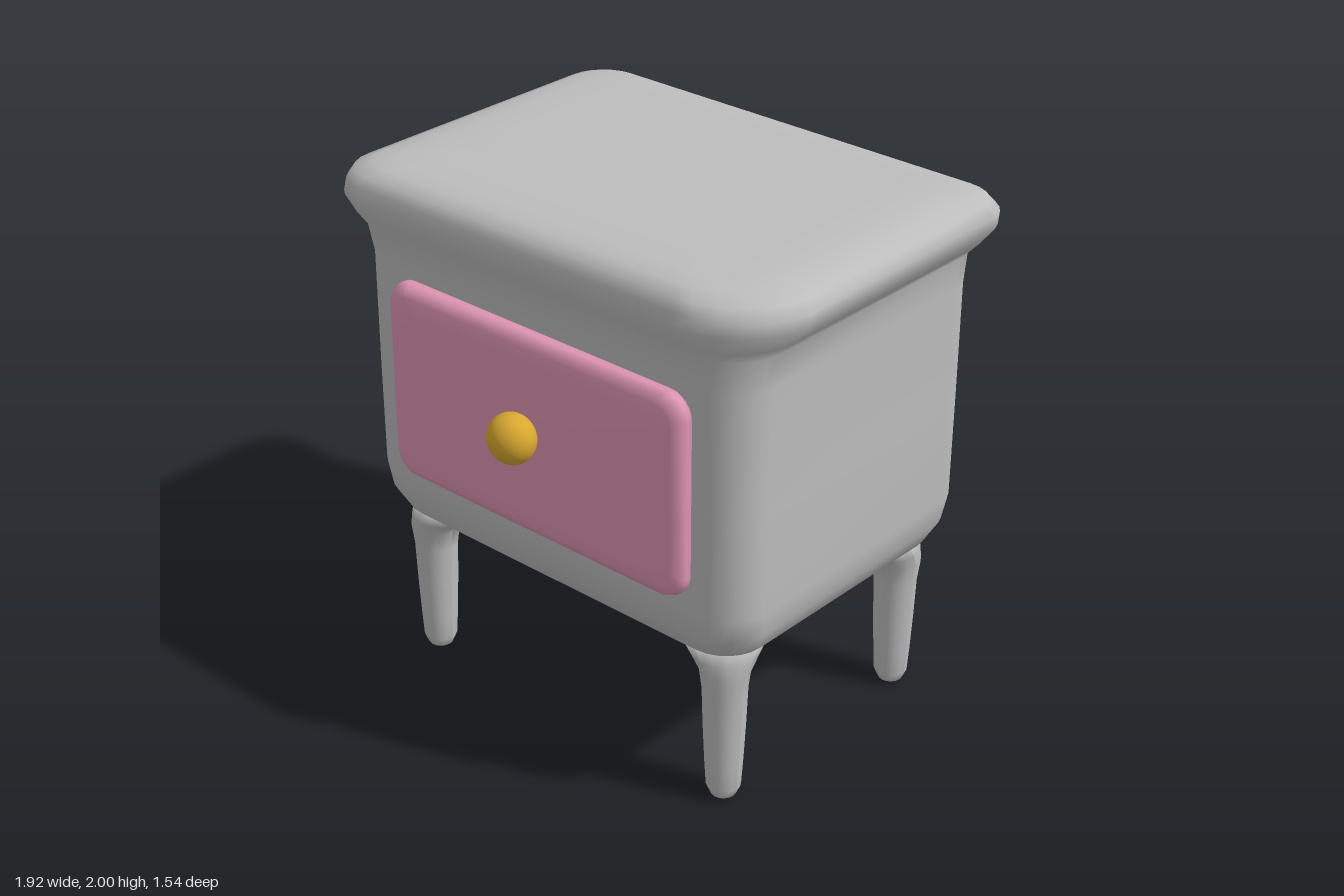
import * as THREE from 'three';

// One rounded-rectangle outline; the +x +z corner may have its own radii.
function outline([y, x0, x1, z0, z1, r, rx = r, rz = r], steps) {
  const corners = [
    [x1 - rx, z1 - rz, rx, rz], [x0 + r, z1 - r, r, r],
    [x0 + r, z0 + r, r, r], [x1 - r, z0 + r, r, r],
  ];
  const points = [];
  corners.forEach(([cx, cz, a, b], k) => {
    for (let i = 0; i <= steps; i++) {
      const t = (k + i / steps) * Math.PI / 2;
      points.push([cx + a * Math.cos(t), y, cz + b * Math.sin(t)]);
    }
  });
  return points;
}

// Closed smooth skin through outlines stacked from bottom to top.
function loft(levels, steps = 6) {
  const rings = levels.map((level) => outline(level, steps));
  const n = rings[0].length;
  const index = [];
  for (let j = 0; j < rings.length - 1; j++) {
    for (let i = 0; i < n; i++) {
      const a = j * n + i, b = j * n + (i + 1) % n;
      index.push(a, a + n, b, b, a + n, b + n);
    }
  }
  const centre = ([y, x0, x1, z0, z1]) => [(x0 + x1) / 2, y, (z0 + z1) / 2];
  const bottom = rings.length * n, top = bottom + 1, last = bottom - n;
  for (let i = 0; i < n; i++) {
    const k = (i + 1) % n;
    index.push(bottom, i, k, top, last + k, last + i);
  }
  const points = [...rings.flat(), centre(levels[0]), centre(levels.at(-1))];
  const geometry = new THREE.BufferGeometry();
  geometry.setAttribute('position', new THREE.Float32BufferAttribute(points.flat(), 3));
  geometry.setIndex(index);
  geometry.computeVertexNormals();
  return geometry;
}

export function createModel() {
  const group = new THREE.Group();
  const paint = (name, color) => {
    const material = new THREE.MeshStandardMaterial({ color });
    material.name = name;
    return material;
  };
  const grey = paint('grey', 0xbdbdbd);
  const pink = paint('pink', 0xe096b4);
  const gold = paint('gold', 0xd9a92f);
  const add = (name, geometry, material) => {
    const mesh = new THREE.Mesh(geometry, material);
    mesh.name = name;
    group.add(mesh);
    return mesh;
  };

  // Cabinet with tucked-in base and overhanging soft top
  add('cabinet', loft([
    [0.58, -0.70, 0.68, -0.56, 0.40, 0.12],
    [0.59, -0.77, 0.75, -0.62, 0.46, 0.14],
    [0.64, -0.825, 0.81, -0.66, 0.515, 0.15],
    [0.72, -0.87, 0.85, -0.695, 0.55, 0.15],
    [0.82, -0.88, 0.865, -0.71, 0.565, 0.15],
    [1.20, -0.882, 0.867, -0.71, 0.565, 0.15],
    [1.65, -0.88, 0.867, -0.71, 0.565, 0.15, 0.17, 0.17],
    [1.77, -0.89, 0.875, -0.715, 0.585, 0.15, 0.22, 0.20],
    [1.81, -0.92, 0.91, -0.74, 0.605, 0.15, 0.27, 0.24],
    [1.87, -0.96, 0.95, -0.77, 0.62, 0.15, 0.32, 0.28],
    [1.92, -0.95, 0.958, -0.765, 0.615, 0.15, 0.32, 0.28],
    [1.96, -0.93, 0.93, -0.74, 0.595, 0.15, 0.32, 0.28],
    [1.985, -0.87, 0.87, -0.69, 0.55, 0.14, 0.30, 0.26],
    [1.995, -0.79, 0.79, -0.62, 0.48, 0.12, 0.28, 0.24],
    [2.00, -0.66, 0.66, -0.50, 0.36, 0.10, 0.20, 0.18],
  ]), grey);

  // Tapered legs: [height, radius, shift toward the middle]
  const legProfile = [
    [0, 0.025, 0], [0.012, 0.045, 0], [0.05, 0.062, 0], [0.15, 0.068, 0],
    [0.30, 0.075, 0], [0.45, 0.08, 0], [0.53, 0.09, 0], [0.58, 0.12, 0.025],
    [0.64, 0.16, 0.06],
  ];
  for (const [side, legX] of [['Left', 0.695], ['Right', -0.72]]) {
    for (const [end, legZ] of [['front', 0.405], ['back', -0.55]]) {
      const levels = legProfile.map(([y, r, shift]) => {
        const x = legX - Math.sign(legX) * shift, z = legZ - Math.sign(legZ) * shift;
        return [y, x - r, x + r, z - r, z + r, r];
      });
      add(`${end}${side}Leg`, loft(levels, 4), grey);
    }
  }

  // Soft-edged drawer front, lofted flat and then stood upright
  const drawer = loft([
    [0, -0.68, 0.675, -0.378, 0.378, 0.09],
    [0.09, -0.68, 0.675, -0.378, 0.378, 0.09],
    [0.115, -0.67, 0.665, -0.368, 0.368, 0.085],
    [0.13, -0.64, 0.635, -0.338, 0.338, 0.075],
    [0.135, -0.58, 0.575, -0.28, 0.28, 0.06],
  ]);
  drawer.rotateX(Math.PI / 2);
  add('drawerFront', drawer, pink).position.set(0, 1.243, 0.495);

  // Round knob
  const knob = add('knob', new THREE.SphereGeometry(0.091, 32, 20), gold);
  knob.scale.z = 0.88;
  knob.position.set(-0.01, 1.27, 0.69);

  return group;
}
